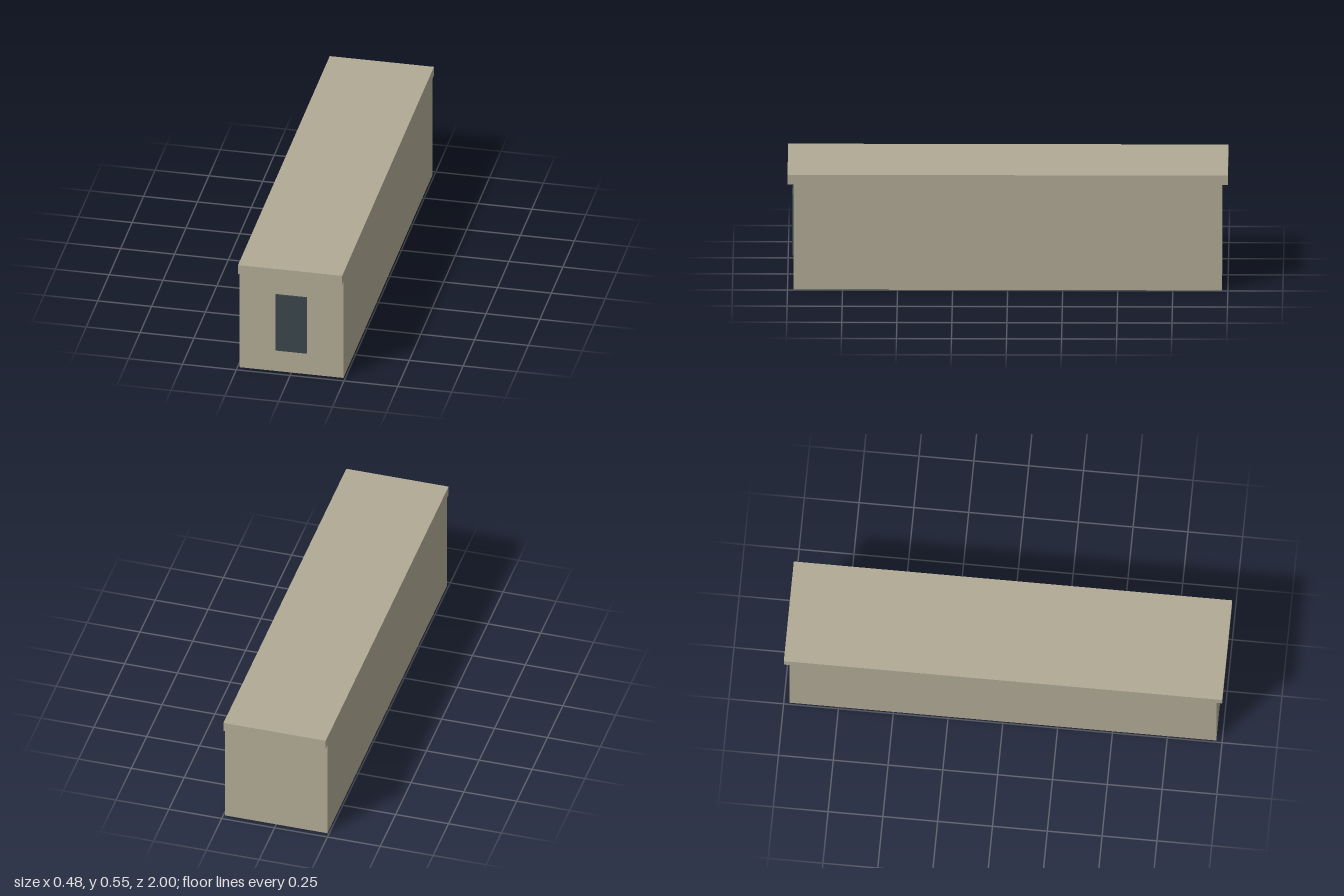
import * as THREE from 'three';

export function createModel() {
  const group = new THREE.Group();
  const wallPaint = new THREE.MeshStandardMaterial({ color: 0xb0a994 });
  wallPaint.name = 'beige wall';
  const doorPaint = new THREE.MeshStandardMaterial({ color: 0x39444a });
  doorPaint.name = 'dark slate door';

  // Long hall: side profile with roof slab overhanging both ends, sides flush
  const width = 0.484, height = 0.545, eaves = 0.5, wallZ = 0.973, roofZ = 1;
  const profile = new THREE.Shape([
    [-wallZ, 0], [wallZ, 0], [wallZ, eaves], [roofZ, eaves],
    [roofZ, height], [-roofZ, height], [-roofZ, eaves], [-wallZ, eaves],
  ].map(([z, y]) => new THREE.Vector2(z, y)));
  const hallGeometry = new THREE.ExtrudeGeometry(profile, { depth: width, bevelEnabled: false });
  hallGeometry.translate(0, 0, -width / 2).rotateY(-Math.PI / 2);
  const hall = new THREE.Mesh(hallGeometry, wallPaint);
  hall.name = 'hallWithRoof';
  group.add(hall);

  // Thin door panel on the front wall
  const door = new THREE.Mesh(new THREE.BoxGeometry(0.146, 0.29, 0.008), doorPaint);
  door.position.set(0, 0.255, wallZ + 0.003);
  door.name = 'doorPanel';
  group.add(door);

  return group;
}
